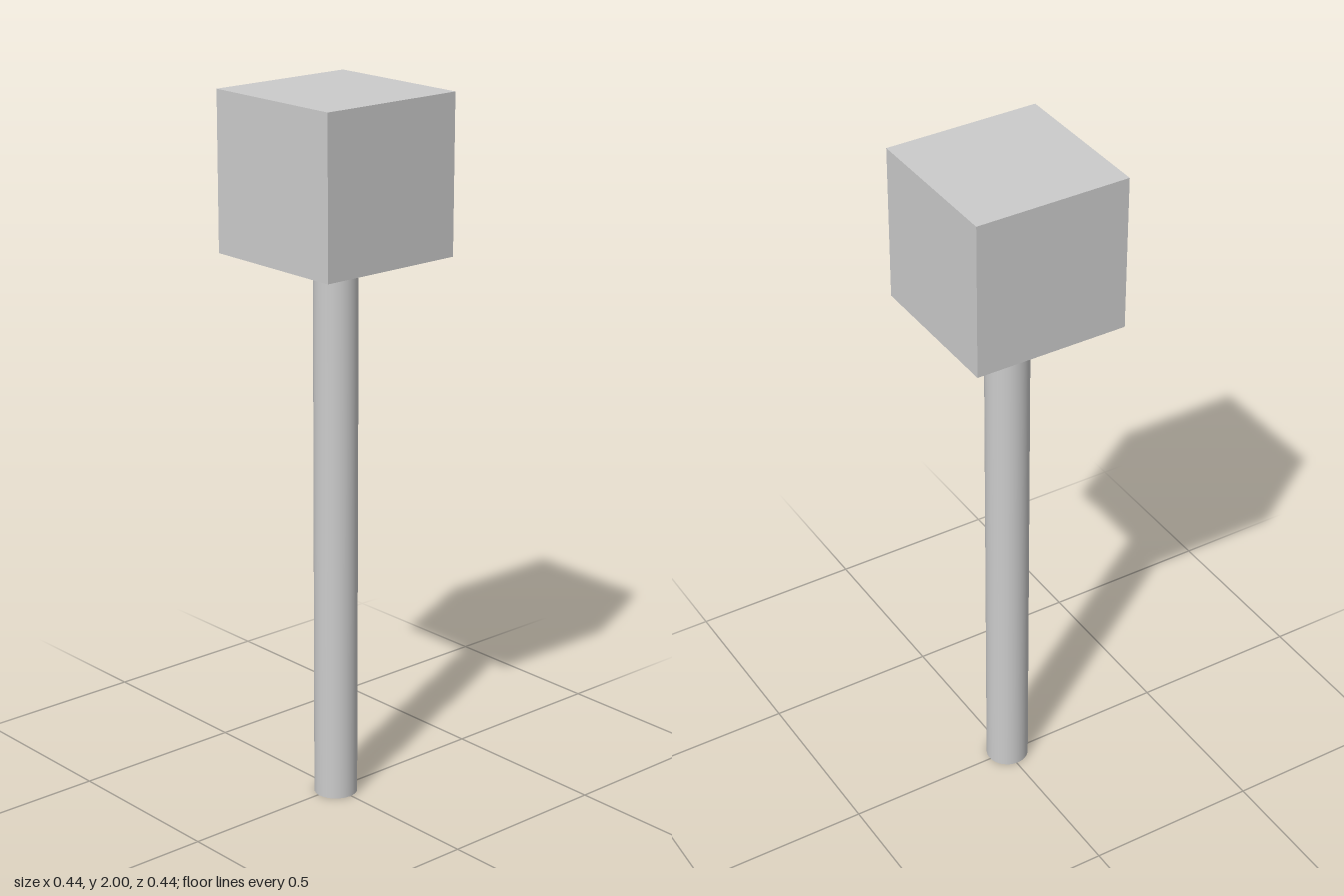
import * as THREE from 'three';

export function createModel() {
  const group = new THREE.Group();
  const material = new THREE.MeshStandardMaterial({ color: 0xcccccc });
  const headSize = 0.44;
  const handleHeight = 2 - headSize;

  const add = (name, geometry, x, y, z) => {
    const mesh = new THREE.Mesh(geometry, material);
    mesh.name = name;
    mesh.position.set(x, y, z);
    group.add(mesh);
  };

  // Round handle, a touch off centre
  add('handle', new THREE.CylinderGeometry(0.061, 0.061, handleHeight, 32), 0.005, handleHeight / 2, 0.004);

  // Cube head on top
  add('head', new THREE.BoxGeometry(headSize, headSize, headSize), 0, 2 - headSize / 2, 0);

  return group;
}
